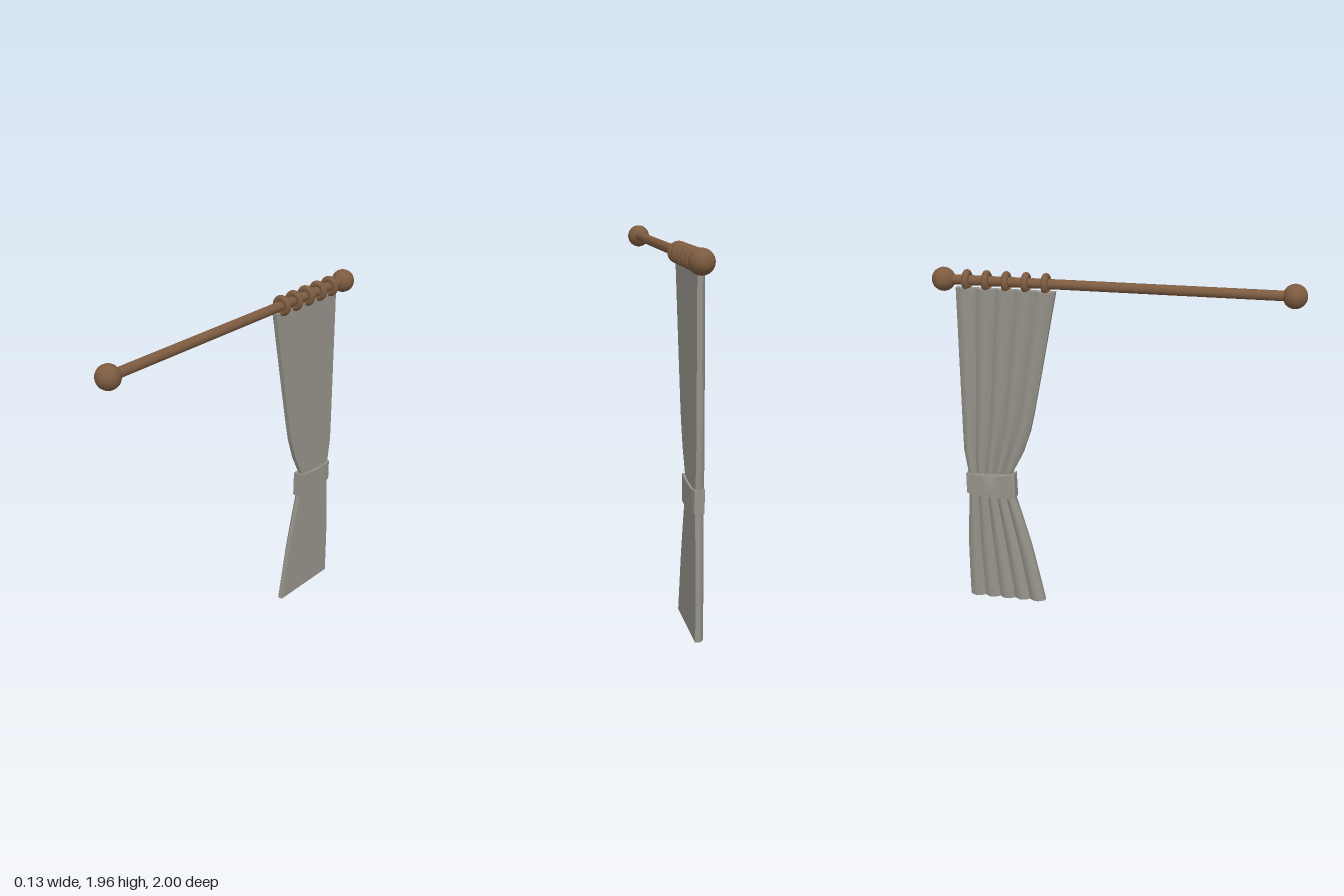
import * as THREE from 'three';
import { toCreasedNormals } from 'three/addons/utils/BufferGeometryUtils.js';

const wood = new THREE.MeshStandardMaterial({ color: 0x7d5b40 });
wood.name = 'brown wood';
const cloth = new THREE.MeshStandardMaterial({ color: 0x95928a });
cloth.name = 'grey cloth';

const ROD_Y = 1.893;

function add(group, name, geometry, material) {
  const mesh = new THREE.Mesh(geometry, material);
  mesh.name = name;
  group.add(mesh);
  return mesh;
}

// Sweeps a (u, x) section upwards through rows; place(u, x, row) gives the world position
function sweep(points, rowCount, place) {
  const shape = new THREE.Shape(points.map(([u, x]) => new THREE.Vector2(u, x)));
  const geo = new THREE.ExtrudeGeometry(shape, {
    depth: rowCount - 1, steps: rowCount - 1, bevelEnabled: false,
  });
  const pos = geo.attributes.position;
  for (let i = 0; i < pos.count; i++) {
    pos.setXYZ(i, ...place(pos.getX(i), pos.getY(i), Math.round(pos.getZ(i))));
  }
  return toCreasedNormals(geo, 0.6);
}

// Curtain: flat on one side, five rounded pleats on the other, drawn in at the tie
function curtainGeometry() {
  const rows = [ // y, back z, front z
    [0, -0.865, -0.413], [0.16, -0.865, -0.447], [0.34, -0.864, -0.486],
    [0.5, -0.855, -0.53], [0.65, -0.845, -0.574], [0.72, -0.843, -0.592],
    [0.79, -0.845, -0.59], [0.92, -0.864, -0.522], [1.05, -0.865, -0.476],
    [1.15, -0.865, -0.453], [1.4, -0.865, -0.403], [1.855, -0.865, -0.315],
  ];
  const section = [[0, 0.006], [0, -0.02]];
  const folds = 5, segs = 8;
  for (let f = 0; f < folds; f++) {
    for (let s = 1; s <= segs; s++) {
      section.push([(f + s / segs) / folds, -0.02 - 0.022 * Math.sin(Math.PI * s / segs)]);
    }
  }
  section.push([1, 0.006]);
  return sweep(section, rows.length, (u, x, r) => {
    const [y, back, front] = rows[r];
    return [x, y, back + (front - back) * u];
  });
}

// Tie band: a loop round the waist that sags a little in the middle
function bandGeometry() {
  const section = [];
  const n = 10;
  for (let i = 0; i <= n; i++) section.push([i / n, i === 0 || i === n ? -0.04 : -0.046]);
  for (let i = n; i >= 0; i--) section.push([i / n, i === 0 ? 0.012 : 0.017]);
  return sweep(section, 2, (u, x, r) => {
    const sag = 0.012 * Math.sin(Math.PI * u);
    const y = r ? 0.782 + 0.013 * u : 0.662 - 0.012 * u;
    return [x, y - sag, -0.853 + 0.286 * u - (r ? 0.003 : 0) * u];
  });
}

export function createModel() {
  const model = new THREE.Group();
  model.name = 'curtainOnRod';

  // Rod with a ball at each end
  const rod = add(model, 'rod', new THREE.CylinderGeometry(0.027, 0.027, 1.8, 16), wood);
  rod.rotation.x = Math.PI / 2;
  rod.position.y = ROD_Y;
  for (const side of [-1, 1]) {
    const ball = add(model, side > 0 ? 'frontFinial' : 'backFinial',
      new THREE.SphereGeometry(0.064, 24, 16), wood);
    ball.position.set(0, ROD_Y, side * 0.936);
  }

  // Rings
  const ringGeo = new THREE.TorusGeometry(0.039, 0.019, 10, 24);
  for (let i = 0; i < 5; i++) {
    const ring = add(model, 'ring' + (i + 1), ringGeo, wood);
    ring.position.set(0, ROD_Y, -0.37 - i * 0.109);
  }

  add(model, 'curtain', curtainGeometry(), cloth);
  add(model, 'tieBand', bandGeometry(), cloth);
  return model;
}
